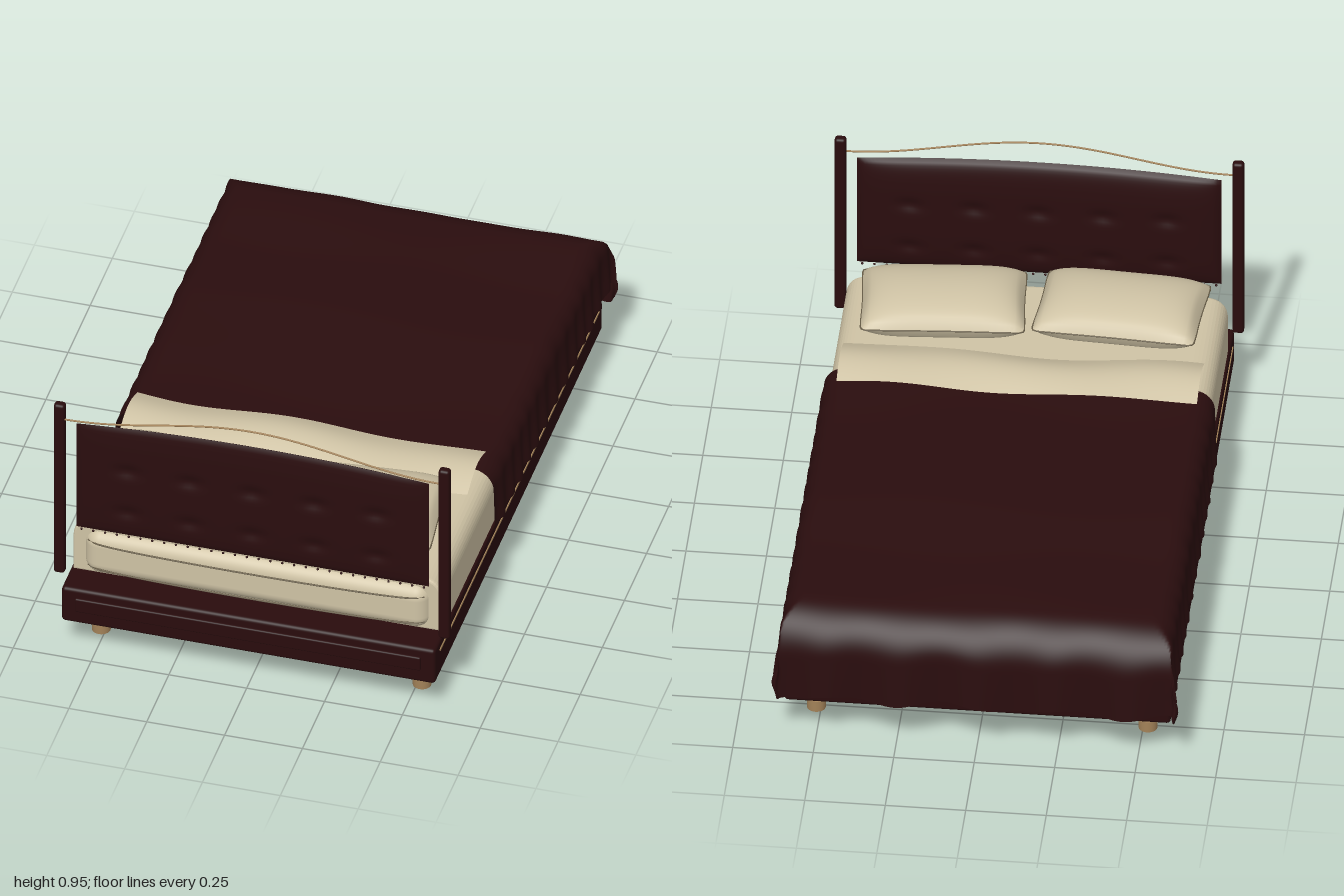
import * as THREE from 'three';
import { RoundedBoxGeometry } from 'three/addons/geometries/RoundedBoxGeometry.js';

const mat = (name, color) => {
  const m = new THREE.MeshStandardMaterial({ color, side: THREE.DoubleSide });
  m.name = name;
  return m;
};

export function createModel() {
  const wood = mat('darkWood', 0x290c0d);
  const velvet = mat('burgundyFabric', 0x2a0d0e);
  const cream = mat('creamLinen', 0xcfc3a5);
  const seam = mat('seamThread', 0x6b604a);
  const brass = mat('brass', 0xa5845a);
  const under = mat('undersideCloth', 0x1f191b);
  const bed = new THREE.Group();
  bed.name = 'bed';

  const add = (name, geo, m, x = 0, y = 0, z = 0, parent = bed) => {
    const mesh = new THREE.Mesh(geo, m);
    mesh.name = name;
    mesh.position.set(x, y, z);
    parent.add(mesh);
    return mesh;
  };
  // Surface over u, v in -1..1
  const surface = (nu, nv, fn) => {
    const g = new THREE.PlaneGeometry(2, 2, nu, nv);
    const p = g.attributes.position;
    for (let i = 0; i < p.count; i++) p.setXYZ(i, ...fn(p.getX(i), p.getY(i)));
    g.computeVertexNormals();
    return g;
  };
  const tube = (pts, r, closed = false, n = 80) =>
    new THREE.TubeGeometry(new THREE.CatmullRomCurve3(pts, closed), n, r, 6, closed);

  // Platform frame with end panels and brass side inlays
  add('frame', new RoundedBoxGeometry(1.2, 0.13, 1.895, 3, 0.012), wood, 0, 0.191, 0.0375);
  add('underside', new THREE.BoxGeometry(1.17, 0.006, 1.86), under, 0, 0.124, 0.0375);
  for (const z of [0.983, -0.914])
    add('endPanel', new RoundedBoxGeometry(1.11, 0.05, 0.02, 2, 0.005), wood, 0, 0.2, z);
  for (const s of [-1, 1])
    add('sideInlay', new THREE.BoxGeometry(0.006, 0.007, 1.8), brass, s * 0.6, 0.222, 0.03);

  // Legs with brass feet
  for (const x of [-0.515, 0.515]) for (const z of [0.83, -0.76]) {
    const leg = new THREE.Group();
    leg.name = 'leg';
    leg.position.set(x, 0, z);
    bed.add(leg);
    add('foot', new THREE.CylinderGeometry(0.031, 0.029, 0.04, 24), brass, 0, 0.02, 0, leg);
    add('legShaft', new THREE.CylinderGeometry(0.029, 0.027, 0.08, 24), wood, 0, 0.08, 0, leg);
    add('legPlate', new THREE.CylinderGeometry(0.039, 0.039, 0.012, 24), wood, 0, 0.119, 0, leg);
  }

  // Mattress with seams, and fitted sheet wrapped around it
  add('mattress', new RoundedBoxGeometry(1.11, 0.165, 1.75, 6, 0.05), cream, 0, 0.338, 0.033);
  for (const y of [0.385, 0.29]) {
    const pts = [];
    for (const [x, z] of [[-0.54, 0.89], [-0.5, 0.908], [0.5, 0.908], [0.54, 0.89]])
      pts.push(new THREE.Vector3(x, y, z));
    add('mattressSeam', tube(pts, 0.003), seam);
  }
  const sh = new THREE.Shape();
  sh.moveTo(-0.585, 0.26);
  sh.lineTo(0.585, 0.26);
  sh.lineTo(0.585, 0.38);
  sh.quadraticCurveTo(0.583, 0.44, 0.52, 0.442);
  sh.lineTo(-0.52, 0.442);
  sh.quadraticCurveTo(-0.583, 0.44, -0.585, 0.38);
  sh.closePath();
  add('fittedSheet', new THREE.ExtrudeGeometry(sh, {
    depth: 1.7, bevelSize: 0.008, bevelThickness: 0.012, bevelSegments: 3, curveSegments: 10,
  }), cream, 0, 0, -0.832);

  // Blanket: flat top folding over the sides and foot
  const fold = (s, flat, r) => {
    if (s <= flat) return [s, 0];
    const a = (s - flat) / r;
    if (a < Math.PI / 2) return [flat + r * Math.sin(a), r * (1 - Math.cos(a))];
    return [flat + r, r + s - flat - r * Math.PI / 2];
  };
  add('blanket', surface(130, 150, (u, v) => {
    const [ax, dx] = fold(Math.abs(u) * 0.79, 0.54, 0.065);
    const t = -0.345 + (v + 1) / 2 * 1.545;
    const [az, dz] = fold(t, 0.835, 0.14);
    const side = Math.min(1, dx / 0.2), foot = Math.min(1, dz / 0.3);
    const drop = Math.max(dx, dz);
    const ripple = Math.sin(t * 62 + Math.sin(t * 9));
    const x = Math.sign(u) * (ax + side * 0.01 + side * 0.007 * ripple + foot * side * 0.012);
    const z = -(az + foot * (0.006 + 0.011 * Math.cos(u * 21)));
    const bump = 0.007 * Math.sin(t * 7 + u * 2.5) * Math.cos(u * 3 - t * 3)
      + 0.012 * Math.exp(-(((t - 0.36) / 0.16) ** 2));
    const hem = 0.006 * side * Math.cos(t * 40) + 0.012 * foot * Math.sin(u * 14);
    return [x, 0.48 + bump * (1 - Math.min(1, drop / 0.1)) - drop + hem, z];
  }), velvet);

  // Top sheet folded back over the blanket
  add('foldedSheet', surface(60, 20, (u, v) => {
    const k = (v + 1) / 2;
    const near = 0.472 + 0.012 * Math.sin(u * 4 - 1.2);
    const far = 0.264 - 0.01 * Math.cos(u * 5);
    return [u * 0.56, 0.485 + 0.028 * Math.sin(k * Math.PI) + 0.008 * k + 0.004 * Math.sin(u * 6 + k * 3),
      near + (far - near) * k];
  }), cream);

  // Pillows with a seam around the edge
  const outline = (u, v) => [
    u * 0.258 * (1 - 0.03 * (1 - v * v)) * (1 - 0.035 * v ** 6),
    v * 0.178 * (1 - 0.035 * (1 - u * u)) * (1 - 0.05 * u ** 6)];
  for (const [x, z, turn] of [[-0.28, 0.692, -0.06], [0.27, 0.672, 0.08]]) {
    const pillow = new THREE.Group();
    pillow.name = 'pillow';
    pillow.position.set(x, 0.523, z);
    pillow.rotation.set(0.06, turn, 0);
    bed.add(pillow);
    for (const s of [1, -1])
      add(s > 0 ? 'pillowTop' : 'pillowBottom', surface(36, 30, (u, v) => {
        const [px, pz] = outline(u, v);
        const h = Math.sqrt(Math.max(0, (1 - u ** 4) * (1 - v * v)));
        return [px, s * 0.075 * h, -s * pz];
      }), cream, 0, 0, 0, pillow);
    const pts = [];
    for (let i = 0; i < 48; i++) {
      const a = i / 48 * Math.PI * 2, c = Math.cos(a), d = Math.sin(a);
      const m = Math.max(Math.abs(c), Math.abs(d));
      const [px, pz] = outline(c / m, d / m);
      pts.push(new THREE.Vector3(px, 0, pz));
    }
    add('pillowSeam', tube(pts, 0.0025, true, 120), seam, 0, 0, 0, pillow);
  }

  // Tufted headboard panel, arched on top, padded towards the pillows
  const dimple = (x, y) => {
    let d = 0;
    for (const bx of [-0.4, -0.2, 0, 0.2, 0.4]) for (const by of [0.55, 0.71])
      d += Math.exp(-(((x - bx) / 0.04) ** 2) - ((y - by) / 0.022) ** 2);
    return d;
  };
  const panel = (depth, dir) => surface(90, 44, (u, v) => {
    const x = u * 0.566, y = 0.462 + (v + 1) / 2 * (0.423 - 0.025 * u * u);
    const puff = Math.sqrt((1 - u ** 8) * Math.max(0, 1 - v ** 4));
    return [x, y, 0.932 + dir * puff * (depth - 0.01 * dimple(x, y))];
  });
  add('headboardPadding', panel(0.032, -1), velvet);
  add('headboardBack', panel(0.012, 1), velvet);
  const nail = new THREE.SphereGeometry(0.004, 8, 6);
  for (let i = 0; i < 30; i++)
    add('nailHead', nail, wood, -0.55 + i * 1.1 / 29, 0.455, 0.932);

  // Headboard posts and the curved brass wire between them
  for (const s of [-1, 1])
    add('headboardPost', new RoundedBoxGeometry(0.036, 0.65, 0.03, 3, 0.01), wood, s * 0.618, 0.606, 0.936);
  const wire = [];
  for (let i = 0; i <= 24; i++) {
    const x = -0.605 + i * 1.21 / 24;
    wire.push(new THREE.Vector3(x, 0.913 + 0.038 * Math.cos(x / 0.605 * Math.PI), 0.942));
  }
  add('headboardWire', tube(wire, 0.003), brass);

  return bed;
}
